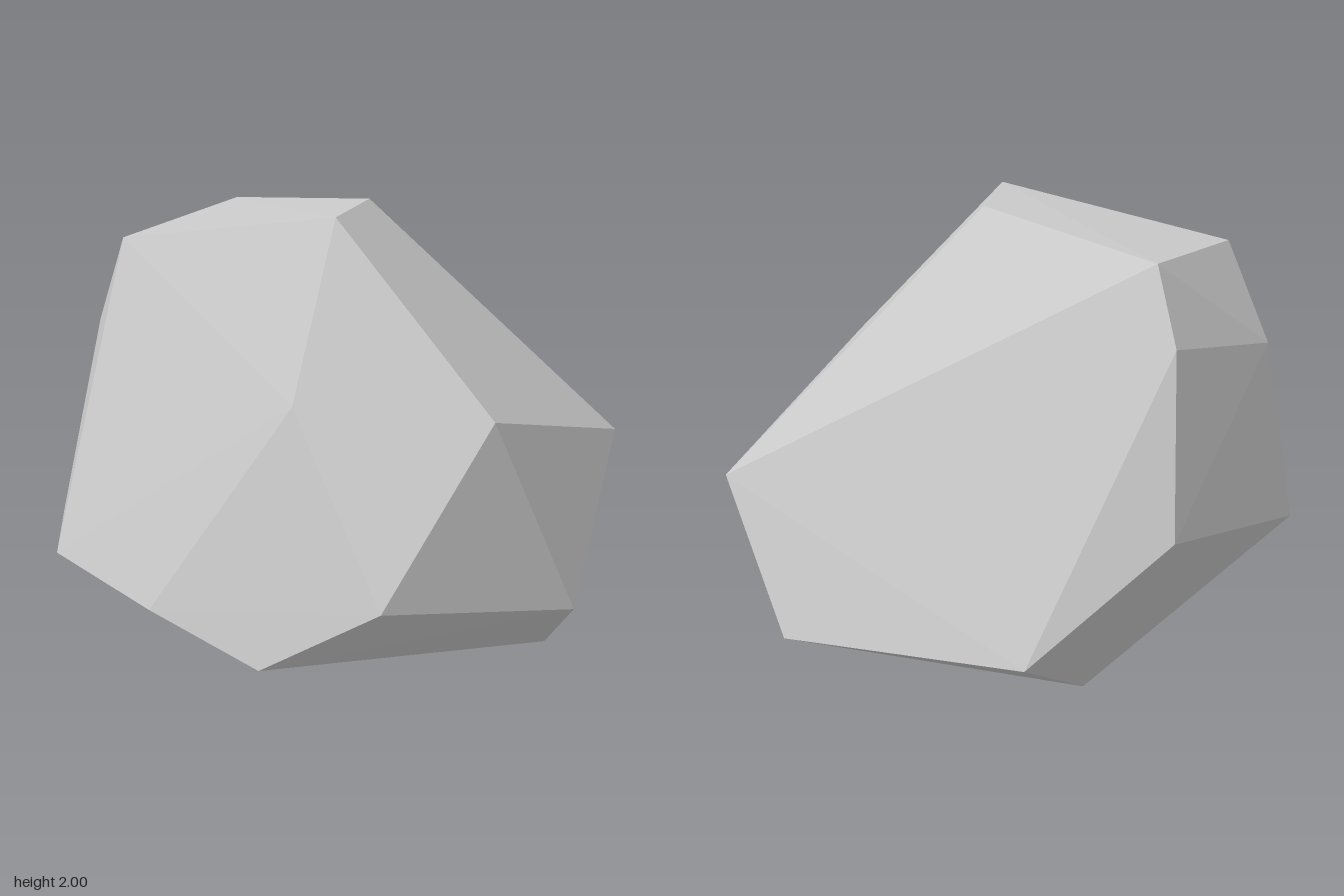
import * as THREE from 'three';
import { ConvexGeometry } from 'three/addons/geometries/ConvexGeometry.js';

// Corners of the faceted boulder, grouped by where they sit
const corners = {
  crown: [[0.22, 2, 0.27], [0.05, 1.985, -0.1], [-0.74, 1.87, -0.11], [-0.69, 1.82, 0.56]],
  rightShoulder: [[-0.9, 1.43, 0.54], [-0.87, 1.58, -0.18], [-0.96, 0.87, -0.3], [-0.96, 0.605, 0.75]],
  front: [[0.26, 1.33, 0.55], [0.7, 0.605, 0.53], [0.28, 0.3, 0.77], [-0.18, 0.46, 0.93], [-0.68, 0.57, 1]],
  leftShoulder: [[0.865, 1.3, 0.09], [0.96, 0.385, -0.36]],
  back: [[0.74, 0.96, -0.915], [0.39, 0.37, -1], [-0.57, 0.4, -0.72]],
  base: [[0.7, 0.065, -0.535], [-0.45, 0, -0.1], [-0.31, 0.155, 0.52]],
};

export function createModel() {
  const group = new THREE.Group();
  group.name = 'rock';

  // The stone is the convex skin around all corners, with flat facets
  const points = Object.values(corners).flat().map((p) => new THREE.Vector3(...p));
  const boulder = new THREE.Mesh(
    new ConvexGeometry(points),
    new THREE.MeshStandardMaterial({ color: 0xcccccc, flatShading: true }),
  );
  boulder.name = 'boulder';
  group.add(boulder);
  return group;
}
